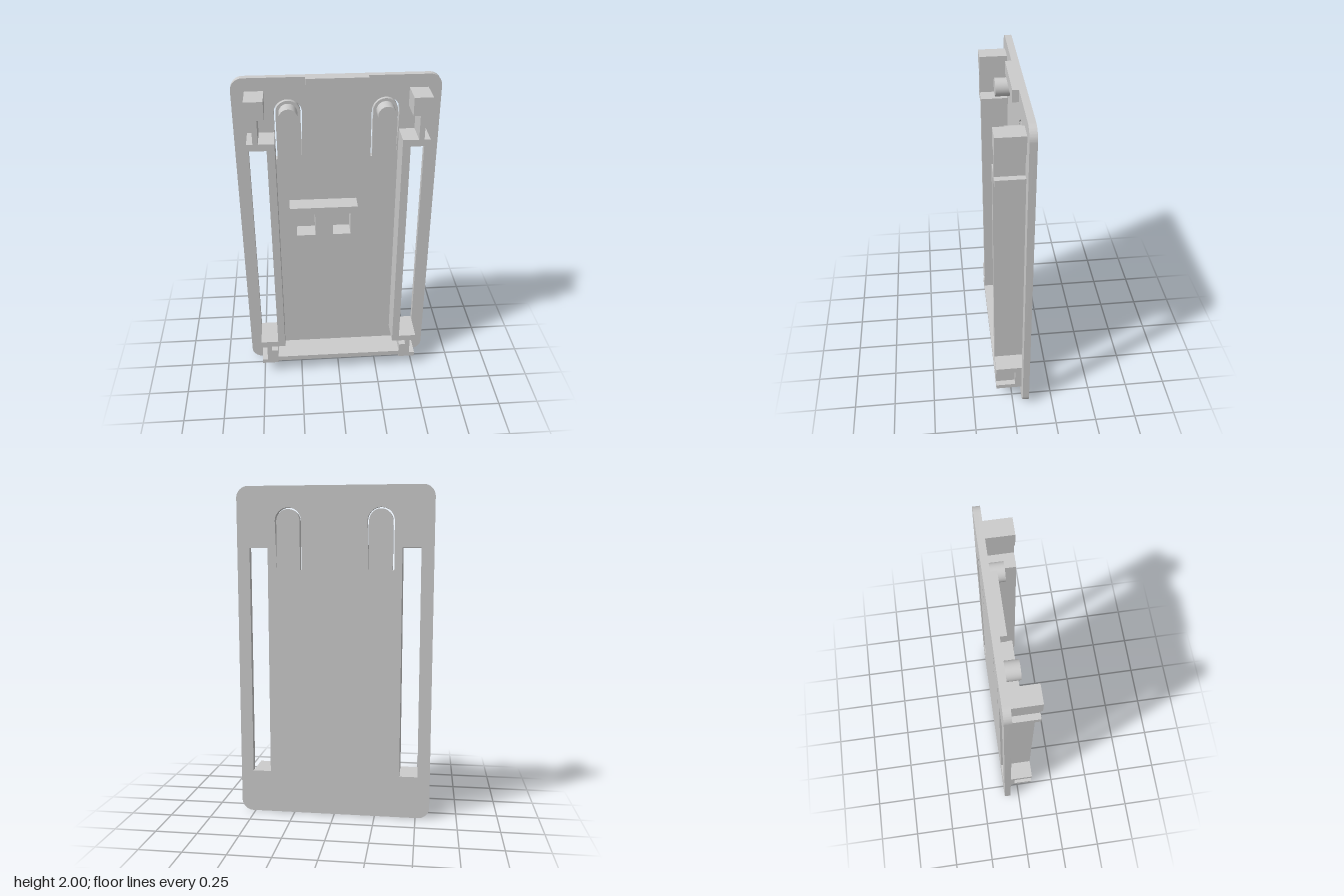
import * as THREE from 'three';
import { toCreasedNormals } from 'three/addons/utils/BufferGeometryUtils.js';

const BACK = -0.1, FACE = -0.06, FRONT = 0.1;
const TAB_X = 0.275, TAB_Y = 1.795;

export function createModel() {
  const group = new THREE.Group();
  const material = new THREE.MeshStandardMaterial({ color: 0xcccccc });

  const add = (name, geometry) => {
    const mesh = new THREE.Mesh(geometry, material);
    mesh.name = name;
    group.add(mesh);
    return mesh;
  };
  // Extrude a shape along z between two depths, smoothing only its curves
  const slab = (name, shape, z0, z1) => {
    const geometry = new THREE.ExtrudeGeometry(shape, { depth: z1 - z0, bevelEnabled: false, curveSegments: 16 });
    geometry.translate(0, 0, z0);
    return add(name, toCreasedNormals(geometry, 0.6));
  };
  const rect = (x0, x1, y0, y1) => new THREE.Shape([
    new THREE.Vector2(x0, y0), new THREE.Vector2(x1, y0),
    new THREE.Vector2(x1, y1), new THREE.Vector2(x0, y1),
  ]);

  // Rounded back plate with side slots and U-shaped cuts
  const W = 0.585, H = 2, R = 0.07;
  const plate = new THREE.Shape();
  plate.absarc(W - R, R, R, -Math.PI / 2, 0, false);
  plate.absarc(W - R, H - R, R, 0, Math.PI / 2, false);
  plate.absarc(-W + R, H - R, R, Math.PI / 2, Math.PI, false);
  plate.absarc(-W + R, R, R, Math.PI, Math.PI * 1.5, false);
  plate.closePath();
  for (const s of [-1, 1]) {
    plate.holes.push(rect(s * 0.455 - 0.055, s * 0.455 + 0.055, 0.26, 1.64));
    const cut = new THREE.Path();
    const cx = s * TAB_X, outer = 0.079, inner = 0.07, foot = 1.51;
    cut.moveTo(cx + outer, foot);
    cut.absarc(cx, TAB_Y, outer, 0, Math.PI, false);
    cut.lineTo(cx - outer, foot);
    cut.lineTo(cx - inner, foot);
    cut.absarc(cx, TAB_Y, inner, Math.PI, 0, true);
    cut.lineTo(cx + inner, foot);
    cut.closePath();
    plate.holes.push(cut);
  }
  slab('backPlate', plate, BACK, FACE);

  // Side rails with their upper and lower clip brackets in one outline
  const railOutline = [
    [0.405, 0.08], [0.51, 0.08], [0.51, 0.11], [0.475, 0.11], [0.475, 0.22], [0.51, 0.22],
    [0.51, 0.26], [0.40, 0.26], [0.40, 1.64], [0.51, 1.64], [0.51, 1.68], [0.475, 1.68],
    [0.475, 1.82], [0.51, 1.82], [0.51, 1.925], [0.405, 1.925], [0.405, 1.82], [0.445, 1.82],
    [0.445, 1.68], [0.355, 1.68], [0.355, 0.22], [0.445, 0.22], [0.445, 0.185], [0.405, 0.185],
  ];
  for (const [side, s] of [['left', 1], ['right', -1]]) {
    slab(side + 'Rail', new THREE.Shape(railOutline.map(([x, y]) => new THREE.Vector2(s * x, y))), FACE, FRONT);
    // Raised floor of the pocket in the lower bracket
    slab(side + 'PocketFloor', rect(s * 0.4925 - 0.0175, s * 0.4925 + 0.0175, 0.11, 0.22), FACE, -0.02);
    // Round button on the flexible tongue
    const button = add(side + 'Button', new THREE.CylinderGeometry(0.053, 0.053, 0.085, 40));
    button.rotation.x = Math.PI / 2;
    button.position.set(s * TAB_X, TAB_Y, FACE + 0.0425);
  }

  // Bottom ledge joining the rails, and the stop at the top edge
  slab('bottomLedge', rect(-0.405, 0.405, 0.095, 0.128), FACE, FRONT);
  slab('topStop', rect(-0.174, 0.174, 1.93, 2), FACE, -0.025);

  // Central block with two square sockets
  const block = rect(-0.287, 0.116, 1.005, 1.235);
  block.holes.push(rect(-0.25, -0.138, 1.048, 1.19), rect(-0.033, 0.074, 1.048, 1.19));
  slab('socketBlock', block, FACE, 0.046);

  return group;
}
